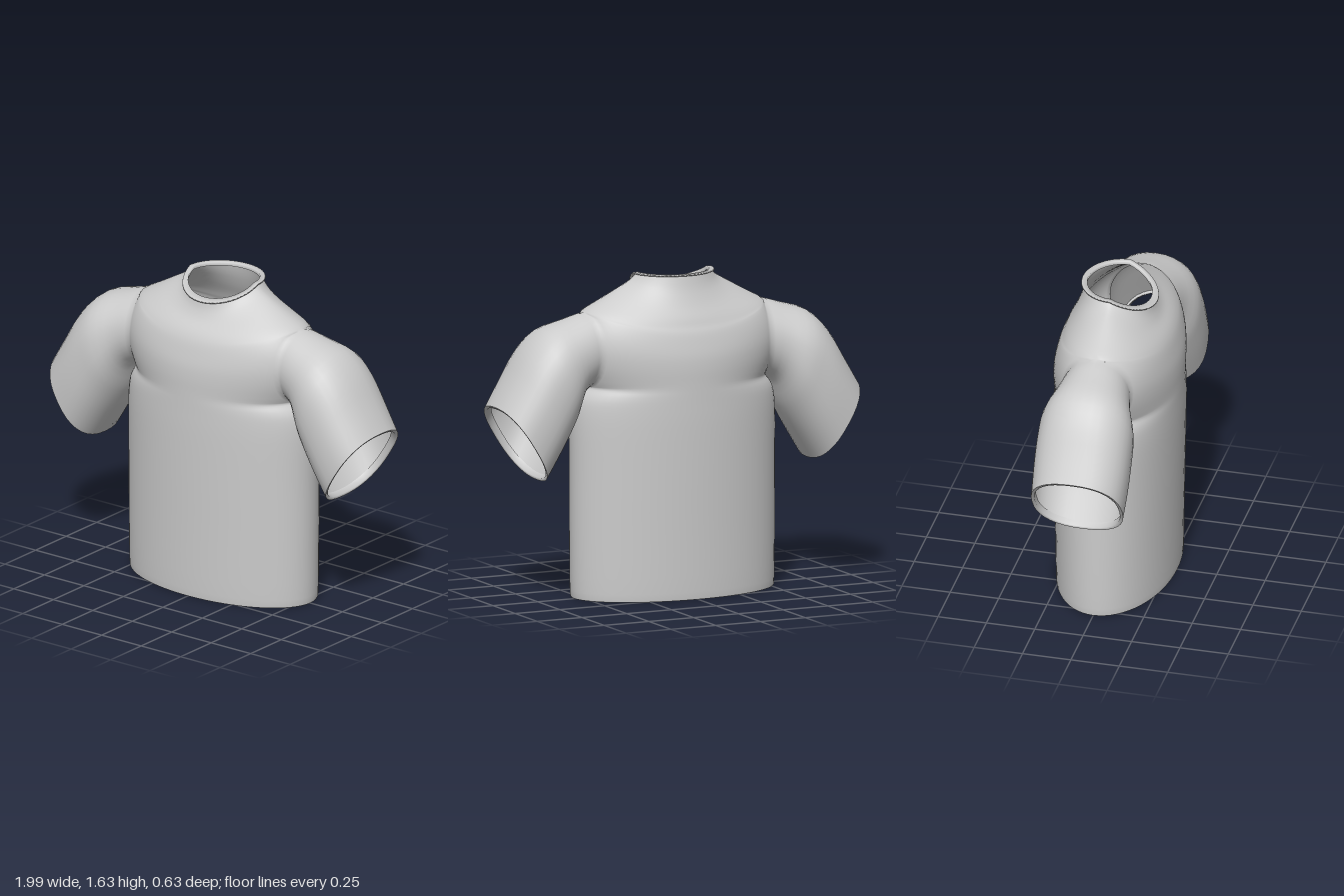
import * as THREE from 'three';
import { mergeVertices } from 'three/addons/utils/BufferGeometryUtils.js';

const SUB = 3;   // interpolated rows per key row
const AROUND = 32; // segments across one torso panel
const material = new THREE.MeshStandardMaterial({ color: 0xcccccc, side: THREE.DoubleSide });

// Smooth interpolation through key rows of numbers
function smoothRows(keys) {
  const rows = [];
  const at = (i) => keys[Math.min(Math.max(i, 0), keys.length - 1)];
  for (let i = 0; i < keys.length - 1; i++) {
    for (let s = 0; s < SUB; s++) {
      const t = s / SUB;
      rows.push(keys[i].map((p1, c) => {
        const p0 = at(i - 1)[c], p2 = at(i + 1)[c], p3 = at(i + 2)[c];
        return p1 + 0.5 * t * (p2 - p0 + t * (2 * p0 - 5 * p1 + 4 * p2 - p3 + t * (3 * (p1 - p2) + p3 - p0)));
      }));
    }
  }
  rows.push(keys[keys.length - 1]);
  return rows;
}

// Triangles between neighbouring rows of points
function skin(out, rows, flip = false) {
  for (let v = 0; v < rows.length - 1; v++) {
    for (let u = 0; u < rows[v].length - 1; u++) {
      const a = rows[v][u], b = rows[v][u + 1], c = rows[v + 1][u + 1], d = rows[v + 1][u];
      const corners = flip ? [a, b, c, a, c, d] : [a, c, b, a, d, c];
      corners.forEach((p) => out.push(p.x, p.y, p.z));
    }
  }
}

function toMesh(name, positions) {
  let geometry = new THREE.BufferGeometry();
  geometry.setAttribute('position', new THREE.Float32BufferAttribute(positions, 3));
  geometry = mergeVertices(geometry, 1e-4);
  geometry.computeVertexNormals();
  const mesh = new THREE.Mesh(geometry, material);
  mesh.name = name;
  return mesh;
}

// One torso panel row; side is 1 for front, -1 for back
function panelRow([a, armZ, ySide, yFront, yBack, zFront, zBack, power], side) {
  const depth = side > 0 ? zFront : zBack, yMid = side > 0 ? yFront : yBack;
  const t0 = Math.asin(Math.min(Math.max(armZ, 0) / depth, 1));
  const points = [];
  for (let i = 0; i <= AROUND; i++) {
    const t = t0 + (Math.PI - 2 * t0) * i / AROUND;
    const lift = Math.max(Math.sin(t) - Math.sin(t0), 0) / (1 - Math.sin(t0));
    points.push(new THREE.Vector3(
      side * a * Math.cos(t) / Math.cos(t0),
      ySide + (yMid - ySide) * Math.pow(lift, power),
      side * depth * Math.sin(t)));
  }
  return points;
}

// Closed elliptical ring, for trims
const ring = (row) => [...panelRow(row, 1), ...panelRow(row, -1).slice(1)];

export function createModel() {
  const shirt = new THREE.Group();
  shirt.name = 'shirt';
  const shell = [];

  // Torso key rows: half width, armhole half depth, side/front/back heights, front/back depth, power
  const level = (y, a, z) => [a, 0, y, y, y, z, z, 2];
  const keys = [
    level(0, 0.545, 0.295), level(0.04, 0.552, 0.3), level(0.35, 0.555, 0.305), level(0.65, 0.555, 0.311),
    level(0.88, 0.555, 0.315), level(0.99, 0.545, 0.315), level(1.04, 0.525, 0.315),
  ];
  const armStart = keys.length * SUB;
  const armYs = [1.07, 1.11, 1.17, 1.235, 1.3, 1.35, 1.385];
  const armDepths = [0.315, 0.315, 0.315, 0.31, 0.296, 0.282, 0.266];
  armYs.forEach((y, i) => {
    const phi = Math.PI * i / 6;
    keys.push([0.495 + 0.005 * Math.cos(phi) - 0.025 * Math.sin(phi), 0.17 * Math.sin(phi),
      1.2625 - 0.1925 * Math.cos(phi), y, y, armDepths[i], armDepths[i], 2]);
  });
  const armEnd = (keys.length - 1) * SUB;
  keys.push(
    [0.4, 0, 1.505, 1.415, 1.425, 0.245, 0.25, 1.8],
    [0.31, 0, 1.555, 1.455, 1.485, 0.21, 0.22, 1.5],
    [0.24, 0, 1.595, 1.5, 1.56, 0.185, 0.19, 1.2],
    [0.205, 0, 1.625, 1.54, 1.63, 0.174, 0.172, 1]);
  const rows = smoothRows(keys);
  const front = rows.map((r) => panelRow(r, 1));
  const back = rows.map((r) => panelRow(r, -1));
  skin(shell, front);
  skin(shell, back);

  // Armhole loop: up the front edge, down the back edge
  const armhole = front.slice(armStart, armEnd + 1).map((r) => r[0]);
  for (let i = armEnd - 1; i >= armStart; i--) armhole.push(back[i][AROUND]);

  // Sleeve key rows: top x, y, bottom x, y, half depth, inward bow, roundness
  const sleeveRows = smoothRows([
    [0.49, 1.455, 0.5, 1.07, 0.17, 0.025, 1],
    [0.6, 1.422, 0.545, 1.03, 0.195, 0.01, 0.95],
    [0.73, 1.38, 0.58, 0.92, 0.235, 0, 0.9],
    [0.83, 1.285, 0.63, 0.82, 0.242, 0, 0.87],
    [0.915, 1.145, 0.69, 0.72, 0.241, 0, 0.85],
    [0.995, 1.01, 0.752, 0.62, 0.234, 0, 0.83],
  ]);
  const bend = (v, e) => Math.sign(v) * Math.pow(Math.abs(v), e);
  const sleeve = sleeveRows.map(([tx, ty, bx, by, depth, bow, e], k) => armhole.map((p, j) => {
    if (k === 0) return p;
    const phi = 2 * Math.PI * j / (armhole.length - 1);
    const s = Math.sin(phi), up = (1 - bend(Math.cos(phi), e)) / 2;
    return new THREE.Vector3(bx + (tx - bx) * up - bow * Math.abs(s), by + (ty - by) * up, depth * bend(s, e));
  }));

  // Folded cuff: the end ring turned inward
  const end = sleeve[sleeve.length - 1];
  const centre = new THREE.Vector3(0.873, 0.815, 0);
  const turned = (scale, inset) => end.map((p) => p.clone().sub(centre).multiplyScalar(scale)
    .add(centre).add(new THREE.Vector3(-0.85 * inset, 0.53 * inset, 0)));
  const cuff = [end, turned(0.93, 0.003), turned(0.93, 0.035)];

  for (const side of [1, -1]) {
    const mirror = (grid) => grid.map((r) => r.map((p) => new THREE.Vector3(p.x * side, p.y, p.z)));
    skin(shell, mirror(sleeve), side < 0);
    const trim = [];
    skin(trim, mirror(cuff), side < 0);
    shirt.add(toMesh(side > 0 ? 'leftCuff' : 'rightCuff', trim));
  }
  shirt.add(toMesh('shirtBody', shell));

  // Neckband: a flat collar ring with a thin outer lip
  const band = [];
  skin(band, [
    ring(keys[keys.length - 1]),
    ring([0.217, 0, 1.627, 1.541, 1.628, 0.194, 0.192, 1]),
    ring([0.215, 0, 1.635, 1.548, 1.635, 0.193, 0.191, 1]),
    ring([0.19, 0, 1.635, 1.56, 1.635, 0.16, 0.162, 1]),
    ring([0.192, 0, 1.615, 1.54, 1.615, 0.162, 0.164, 1]),
  ]);
  shirt.add(toMesh('neckband', band));

  // Hem folded to the inside
  const hem = [];
  skin(hem, [ring(level(0.03, 0.536, 0.286)), ring(level(0.004, 0.534, 0.284)), ring(level(0, 0.545, 0.295))]);
  shirt.add(toMesh('hem', hem));

  return shirt;
}
